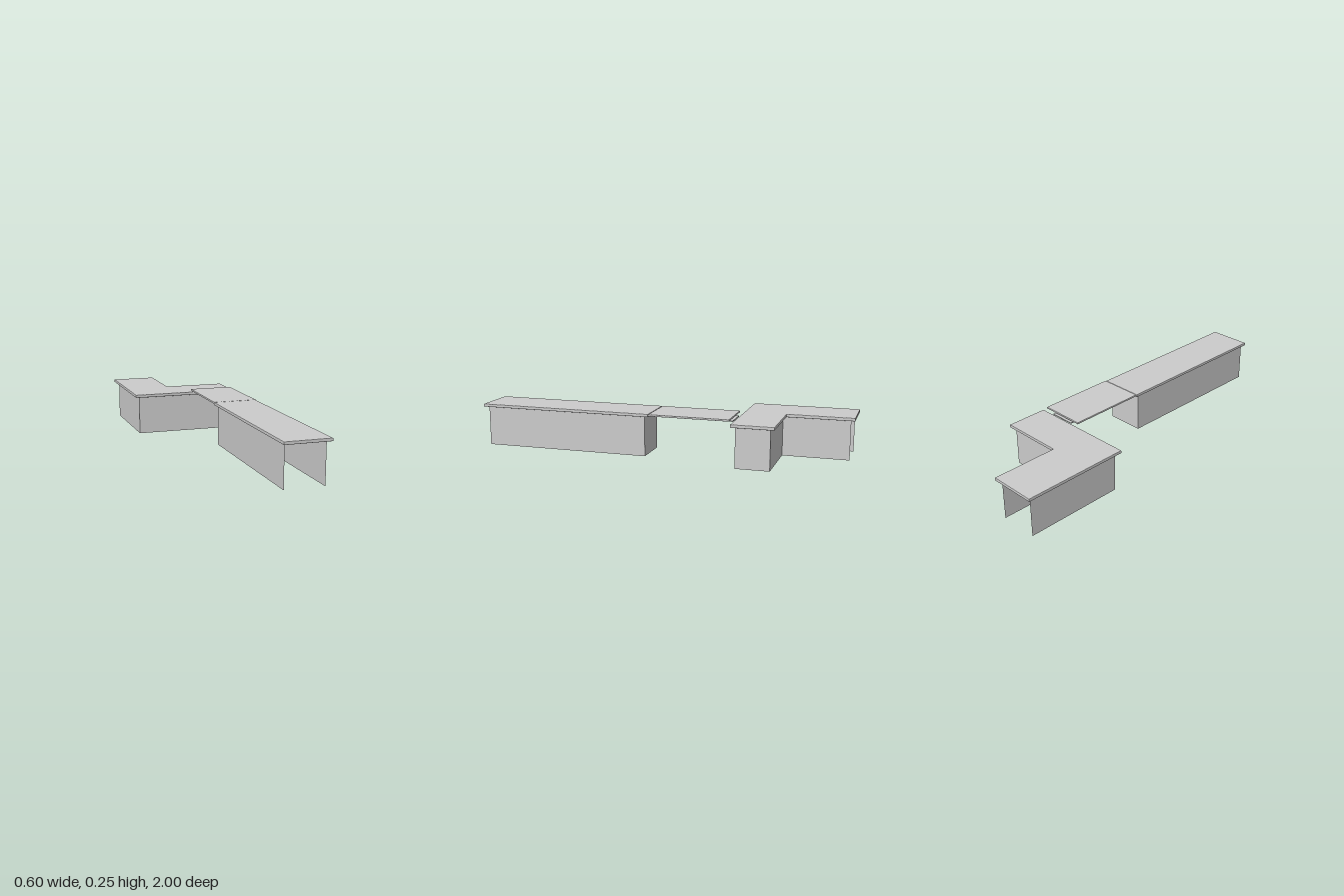
import * as THREE from 'three';

const solid = new THREE.MeshStandardMaterial({ color: 0xcccccc, flatShading: true });
const sheet = new THREE.MeshStandardMaterial({ color: 0xcccccc, flatShading: true, side: THREE.DoubleSide });

// Horizontal slab with softened edges, from a plan outline of [x, z] points
function slab(name, outline, bottom, top, bevel = 0.003) {
  const shape = new THREE.Shape(outline.map(([x, z]) => new THREE.Vector2(x, -z)));
  const geo = new THREE.ExtrudeGeometry(shape, {
    depth: top - bottom - 2 * bevel,
    bevelThickness: bevel, bevelSize: bevel, bevelOffset: -bevel, bevelSegments: 2,
  });
  geo.rotateX(-Math.PI / 2);
  geo.translate(0, bottom + bevel, 0);
  const mesh = new THREE.Mesh(geo, solid);
  mesh.name = name;
  return mesh;
}

// Thin upright panels following an open plan path of [x, z] points
function panels(name, path, bottom, top) {
  const pos = [];
  for (let i = 0; i < path.length - 1; i++) {
    const [ax, az] = path[i], [bx, bz] = path[i + 1];
    pos.push(ax, bottom, az, bx, bottom, bz, bx, top, bz);
    pos.push(ax, bottom, az, bx, top, bz, ax, top, az);
  }
  const geo = new THREE.BufferGeometry();
  geo.setAttribute('position', new THREE.Float32BufferAttribute(pos, 3));
  geo.computeVertexNormals();
  const mesh = new THREE.Mesh(geo, sheet);
  mesh.name = name;
  return mesh;
}

const rect = (x0, x1, z0, z1) => [[x0, z1], [x1, z1], [x1, z0], [x0, z0]];

export function createModel() {
  const model = new THREE.Group();
  model.name = 'barCounter';

  // Long straight counter, open at its front end and underneath
  const longCounter = new THREE.Group();
  longCounter.name = 'longCounter';
  longCounter.add(
    slab('longCountertop', rect(0.031, 0.274, 0.037, 1), 0.239, 0.255),
    panels('longCounterPanels', [[0.045, 0.977], [0.045, 0.062], [0.253, 0.062], [0.253, 0.977]], 0.022, 0.239),
  );

  // Hinged flap bridging the gap, with its rest plate
  const flap = new THREE.Group();
  flap.name = 'liftUpFlap';
  const rest = new THREE.Mesh(new THREE.BoxGeometry(0.14, 0.005, 0.092), solid);
  rest.name = 'flapRestPlate';
  rest.position.set(0.15, 0.2355, -0.361);
  flap.add(slab('flapBoard', rect(0.033, 0.278, -0.4, 0.034), 0.245, 0.255, 0.002), rest);

  // L-shaped counter, open at its back end and underneath
  const cornerCounter = new THREE.Group();
  cornerCounter.name = 'cornerCounter';
  cornerCounter.add(
    slab('cornerCountertop', [
      [-0.3, -0.41], [0.298, -0.41], [0.298, -0.638], [-0.047, -0.638], [-0.047, -1], [-0.3, -1],
    ], 0.218, 0.235),
    panels('cornerCounterPanels', [
      [-0.275, -0.977], [-0.275, -0.432], [0.277, -0.432], [0.277, -0.615], [-0.07, -0.615], [-0.07, -0.977],
    ], 0, 0.218),
  );

  model.add(longCounter, flap, cornerCounter);
  return model;
}
